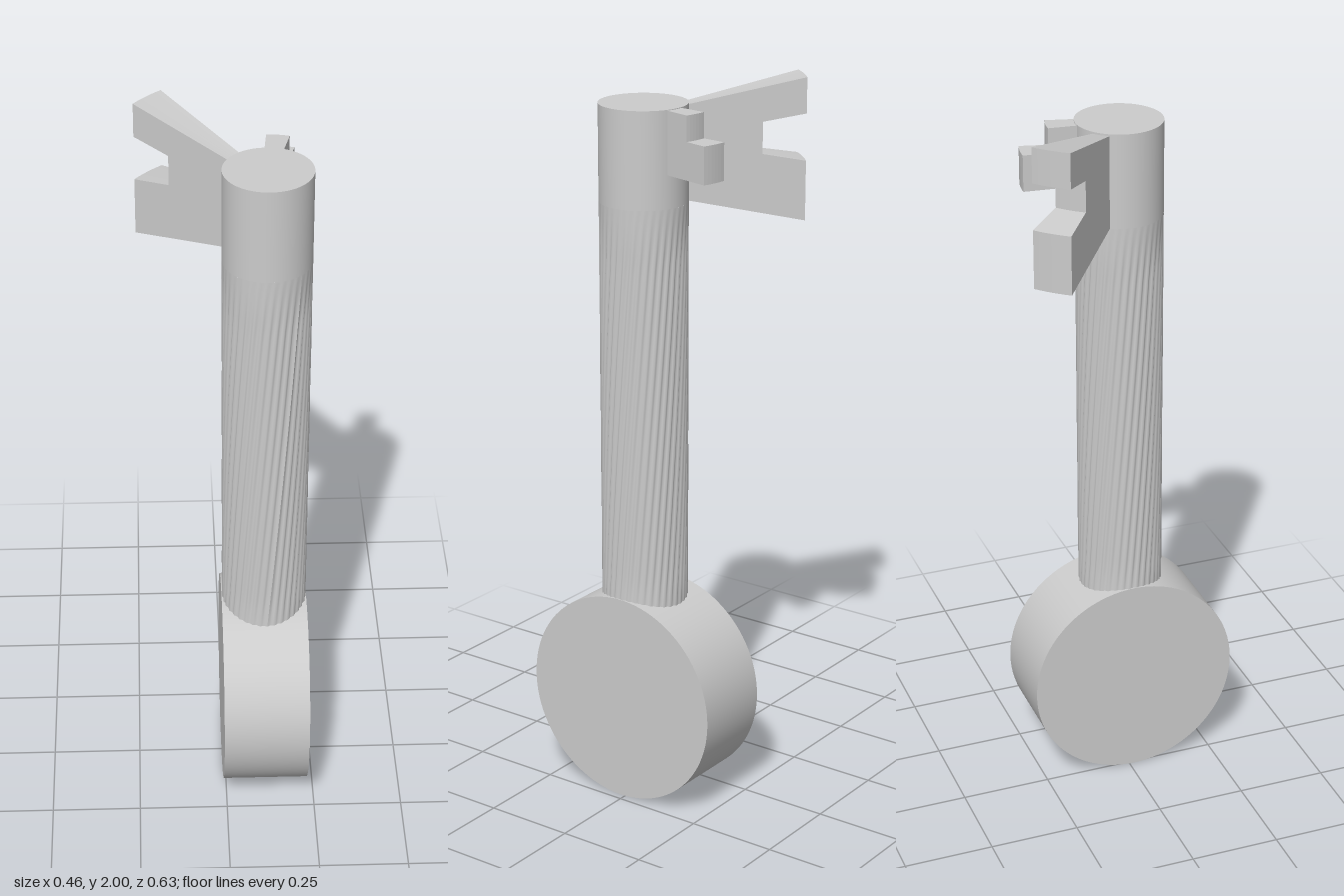
import * as THREE from 'three';

const AXIS_X = 0.11, AXIS_Z = 0.015, RADIUS = 0.118;

function material(options = {}) {
  return new THREE.MeshStandardMaterial({ color: 0xcccccc, ...options });
}

function part(name, geometry, mat = material()) {
  const mesh = new THREE.Mesh(geometry, mat);
  mesh.name = name;
  return mesh;
}

// Twisted, finely fluted grip; the flutes fade out towards both ends.
function flutedGeometry(bottom, top) {
  const height = top - bottom, flutes = 36, twist = 0.8;
  const geo = new THREE.CylinderGeometry(RADIUS, RADIUS, height, flutes * 4, 40, true);
  const pos = geo.attributes.position;
  for (let i = 0; i < pos.count; i++) {
    const t = pos.getY(i) / height + 0.5;
    const angle = Math.atan2(pos.getX(i), pos.getZ(i));
    const depth = 0.006 * Math.min(1, t * 8, (1 - t) * 8);
    const r = RADIUS - depth * (0.5 - 0.5 * Math.cos(angle * flutes));
    const a = angle + twist * t;
    pos.setXYZ(i, r * Math.sin(a), pos.getY(i), r * Math.cos(a));
  }
  geo.computeVertexNormals();
  return geo.translate(0, (bottom + top) / 2, 0);
}

// Key bit: a [distance, height] profile, widening outwards, with end faces
// curved around the shaft axis.
function bitGeometry(profile, nearWidth, flare) {
  const shape = new THREE.Shape(profile.map(([d, y]) => new THREE.Vector2(d, y)));
  const geo = new THREE.ExtrudeGeometry(shape, { depth: 1, steps: 6, bevelEnabled: false });
  const pos = geo.attributes.position;
  for (let i = 0; i < pos.count; i++) {
    const d = pos.getX(i);
    const t = (pos.getZ(i) - 0.5) * (nearWidth + flare * (d - 0.118));
    pos.setX(i, Math.sqrt(d * d - t * t));
    pos.setZ(i, t);
  }
  geo.computeVertexNormals();
  return geo;
}

export function createModel() {
  const model = new THREE.Group();
  model.name = 'key';

  // Disc handle lying on its rim, axis along x
  const disc = new THREE.CylinderGeometry(0.295, 0.295, 0.238, 96);
  disc.rotateZ(Math.PI / 2);
  const handle = part('discHandle', disc);
  handle.position.set(AXIS_X, 0.295, AXIS_Z);
  model.add(handle);

  // Shaft: fluted grip below, plain collar on top
  const shaft = new THREE.Group();
  shaft.name = 'shaft';
  shaft.position.set(AXIS_X, 0, AXIS_Z);
  shaft.add(part('flutedShaft', flutedGeometry(0.5, 1.68)));
  const collar = part('plainCollar', new THREE.CylinderGeometry(RADIUS, RADIUS, 0.26, 96));
  collar.position.y = 1.81;
  shaft.add(collar);

  // Large notched bit
  const large = part('notchedBit', bitGeometry([
    [0.09, 1.685], [0.424, 1.62], [0.424, 1.78], [0.31, 1.8],
    [0.31, 1.885], [0.424, 1.905], [0.424, 2.0], [0.09, 1.929],
  ], 0.047, 0.19), material({ flatShading: true }));
  large.rotation.y = THREE.MathUtils.degToRad(136);
  shaft.add(large);

  // Small stepped bit
  const small = part('steppedBit', bitGeometry([
    [0.09, 1.77], [0.262, 1.77], [0.262, 1.87],
    [0.194, 1.87], [0.194, 1.938], [0.09, 1.938],
  ], 0.05, 0.15), material({ flatShading: true }));
  small.rotation.y = THREE.MathUtils.degToRad(80);
  shaft.add(small);

  model.add(shaft);
  return model;
}
